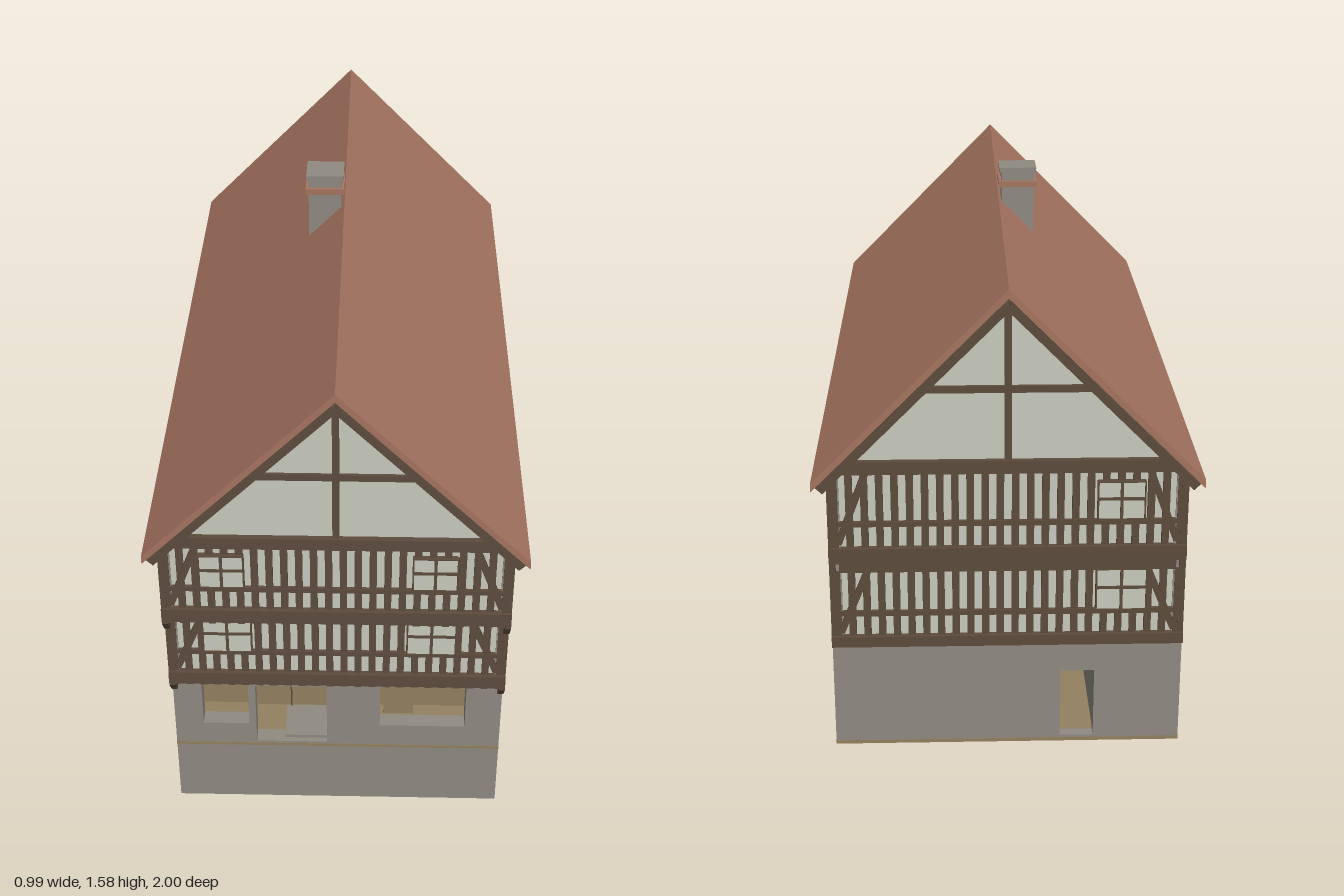
import * as THREE from 'three';

const mat = (name, color) => {
  const m = new THREE.MeshStandardMaterial({ color });
  m.name = name;
  return m;
};

export function createModel() {
  const stone = mat('grey stone', 0x8f8a82);
  const timber = mat('dark timber', 0x5d4c3d);
  const plaster = mat('pale plaster', 0xcacbbe);
  const tile = mat('clay tile', 0xa67460);
  const board = mat('tan boards', 0x93805f);

  const house = new THREE.Group();
  house.name = 'timberFramedHouse';

  const add = (parent, name, geo, material) => {
    const m = new THREE.Mesh(geo, material);
    m.name = name;
    parent.add(m);
    return m;
  };
  // Box given by its limits on each axis
  const box = (parent, name, material, x0, x1, y0, y1, z0, z1) => {
    const m = add(parent, name, new THREE.BoxGeometry(x1 - x0, y1 - y0, z1 - z0), material);
    m.position.set((x0 + x1) / 2, (y0 + y1) / 2, (z0 + z1) / 2);
    return m;
  };
  // Straight beam between two points of the facade plane
  const beam = (parent, name, x0, y0, x1, y1, width, z0, z1) => {
    const len = Math.hypot(x1 - x0, y1 - y0);
    const m = add(parent, name, new THREE.BoxGeometry(len, width, z1 - z0), timber);
    m.position.set((x0 + x1) / 2, (y0 + y1) / 2, (z0 + z1) / 2);
    m.rotation.z = Math.atan2(y1 - y0, x1 - x0);
    return m;
  };
  const shapeOf = (pts) => new THREE.Shape(pts.map(([x, y]) => new THREE.Vector2(x, y)));
  const rect = (x0, x1, y0, y1) => shapeOf([[x0, y0], [x1, y0], [x1, y1], [x0, y1]]);
  const extrude = (pts, holes, depth) => {
    const s = shapeOf(pts);
    s.holes = holes.map((h) => rect(...h));
    return new THREE.ExtrudeGeometry(s, { depth, bevelEnabled: false });
  };

  // Cellar and ground floor slab
  box(house, 'cellar', stone, -0.46, 0.46, 0, 0.205, 0.14, 0.885);
  box(house, 'floorSlab', board, -0.461, 0.461, 0.205, 0.215, -0.961, 0.886);

  // Side walls, stepping forward at each jetty, with window openings
  const sideProfile = [[-0.96, 0.215], [0.885, 0.215], [0.885, 0.5], [0.925, 0.5],
    [0.925, 0.745], [0.965, 0.745], [0.965, 1.0], [-0.96, 1.0]];
  const sideWindows = [[-0.135, 0.055, 0.85, 0.98], [-0.135, 0.055, 0.6, 0.735]];
  for (const side of [-1, 1]) {
    const wall = add(house, 'sideWall', extrude(sideProfile, sideWindows, 0.03), stone);
    wall.rotation.y = -Math.PI / 2;
    wall.position.x = side > 0 ? 0.46 : -0.43;
    for (const [z0, z1, y0, y1] of sideWindows) {
      const a = side * 0.43, b = side * 0.445;
      const bar = (u0, u1, v0, v1) =>
        box(house, 'sideWindowBar', timber, Math.min(a, b), Math.max(a, b), v0, v1, u0, u1);
      for (let i = 1; i < 4; i++) {
        const z = z0 + (z1 - z0) * i / 4;
        bar(z - 0.006, z + 0.006, y0, y1);
      }
      const ym = y0 + (y1 - y0) * 0.62;
      bar(z0, z1, ym - 0.005, ym + 0.005);
    }
  }

  // Ground floor front and back walls with openings
  const wallPts = [[-0.43, 0.215], [0.43, 0.215], [0.43, 0.5], [-0.43, 0.5]];
  add(house, 'frontWall', extrude(wallPts, [[-0.38, -0.25, 0.29, 0.475],
    [-0.23, -0.03, 0.222, 0.435], [0.12, 0.36, 0.29, 0.475]], 0.045), stone).position.z = 0.84;
  add(house, 'backWall', extrude(wallPts, [[-0.23, -0.14, 0.222, 0.42]], 0.03), stone).position.z = -0.96;

  // Boards behind the heads of the openings, and the rooms inside
  box(house, 'windowBoardLeft', board, -0.01, 0.43, 0.328, 0.5, 0.815, 0.84);
  box(house, 'windowBoardRight', board, -0.43, -0.24, 0.328, 0.5, 0.815, 0.84);
  box(house, 'doorBoard', board, -0.235, -0.01, 0.322, 0.5, 0.81, 0.84);
  box(house, 'doorBoardPost', timber, -0.133, -0.129, 0.322, 0.435, 0.84, 0.844);
  box(house, 'counter', board, 0.13, 0.215, 0.285, 0.322, 0.76, 0.83);
  box(house, 'doorStep', stone, -0.15, -0.03, 0.215, 0.232, 0.7, 0.87);
  box(house, 'innerWallLeft', stone, -0.137, 0.43, 0.215, 0.5, 0.57, 0.6);
  box(house, 'innerWallRight', stone, -0.43, -0.232, 0.215, 0.5, 0.57, 0.6);
  box(house, 'passageWallLeft', stone, -0.137, -0.12, 0.215, 0.5, -0.93, 0.57);
  box(house, 'passageWallRight', stone, -0.25, -0.232, 0.215, 0.5, -0.93, 0.57);

  // Plastered upper storeys and attic
  box(house, 'firstStorey', plaster, -0.43, 0.43, 0.5, 0.745, -0.955, 0.92);
  box(house, 'secondStorey', plaster, -0.43, 0.43, 0.745, 1.0, -0.955, 0.96);
  add(house, 'attic', extrude([[-0.43, 1.0], [0.43, 1.0], [0.43, 1.02], [0, 1.455], [-0.43, 1.02]], [], 1.915),
    plaster).position.z = -0.955;

  // One storey of framing on a wall plane at z
  const storey = (parent, z, y0, sill, rail, top, head, windows) => {
    box(parent, 'sillBeam', timber, -0.461, 0.461, y0, sill, z - 0.02, z + 0.018);
    box(parent, 'headBeam', timber, -0.435, 0.435, top, head, z - 0.02, z + 0.016);
    box(parent, 'midRail', timber, -0.45, 0.45, rail, rail + 0.014, z - 0.01, z + 0.01);
    for (let i = 0; i < 24; i++) {
      const x = -0.443 + i * 0.886 / 23;
      box(parent, 'stud', timber, x - 0.0095, x + 0.0095, sill, top, z - 0.01, z + 0.008);
    }
    for (const s of [-1, 1]) {
      const c = s * 0.4525;
      box(parent, 'cornerPost', timber, c - 0.0085, c + 0.0085, sill, Math.min(head, 0.998), z - 0.01, z + 0.01);
      beam(parent, 'brace', s * 0.435, sill + 0.01, s * 0.362, top, 0.018, z, z + 0.0105);
    }
    for (const [x0, x1, wy0, wy1] of windows) {
      const xm = (x0 + x1) / 2, ym = wy0 + (wy1 - wy0) * 0.55;
      box(parent, 'windowPane', plaster, x0, x1, wy0, wy1, z, z + 0.012);
      box(parent, 'windowMullion', timber, xm - 0.004, xm + 0.004, wy0, wy1, z, z + 0.015);
      box(parent, 'windowTransom', timber, x0, x1, ym - 0.004, ym + 0.004, z, z + 0.015);
      for (const x of [x0, x1]) box(parent, 'windowJamb', timber, x - 0.002, x + 0.002, wy0, wy1, z, z + 0.015);
      for (const y of [wy0, wy1]) box(parent, 'windowRail', timber, x0, x1, y - 0.002, y + 0.002, z, z + 0.015);
    }
  };
  // Gable post, collar and rafters
  const gable = (parent, z) => {
    box(parent, 'kingPost', timber, -0.009, 0.009, 1.02, 1.45, z - 0.01, z + 0.01);
    box(parent, 'collarBeam', timber, -0.235, 0.235, 1.21, 1.228, z - 0.01, z + 0.009);
    for (const s of [-1, 1]) beam(parent, 'rafter', s * 0.478, 0.965, s * 0.004, 1.446, 0.028, z, 0.997);
  };

  const front = new THREE.Group();
  front.name = 'frontFraming';
  storey(front, 0.92, 0.49, 0.53, 0.592, 0.722, 0.745, [[-0.36, -0.23, 0.605, 0.722], [0.19, 0.32, 0.605, 0.722]]);
  storey(front, 0.96, 0.748, 0.79, 0.848, 0.995, 1.03, [[-0.355, -0.24, 0.864, 0.968], [0.2, 0.315, 0.864, 0.968]]);
  gable(front, 0.96);
  // Joist ends and corner brackets under each jetty
  for (const [y, z] of [[0.49, 0.885], [0.748, 0.925]]) {
    for (let i = 0; i < 24; i++) {
      const x = -0.443 + i * 0.886 / 23;
      box(front, 'joistEnd', timber, x - 0.0095, x + 0.0095, y - 0.01, y, z - 0.01, z + 0.045);
    }
    for (const s of [-1, 1]) {
      const g = extrude([[0, y - 0.065], [0.012, y - 0.06], [0.045, y - 0.015], [0.045, y + 0.015], [0, y + 0.015]], [], 0.016);
      const bracket = add(front, 'cornerBracket', g, timber);
      bracket.rotation.y = -Math.PI / 2;
      bracket.position.set(s > 0 ? 0.462 : -0.446, 0, z);
    }
  }
  house.add(front);

  const back = new THREE.Group();
  back.name = 'backFraming';
  storey(back, 0.955, 0.505, 0.535, 0.592, 0.722, 0.748, [[0.23, 0.36, 0.605, 0.722]]);
  storey(back, 0.955, 0.748, 0.79, 0.848, 0.995, 1.03, [[0.23, 0.35, 0.864, 0.968]]);
  gable(back, 0.955);
  back.rotation.y = Math.PI;
  house.add(back);

  // Roof
  add(house, 'roof', extrude([[0, 1.488], [-0.497, 0.985], [-0.497, 0.962], [0, 1.465],
    [0.497, 0.962], [0.497, 0.985]], [], 2), tile).position.z = -1;

  // Chimney
  box(house, 'chimneyShaft', stone, -0.103, -0.008, 1.3, 1.57, -0.082, 0.002);
  box(house, 'chimneyBand', tile, -0.111, 0, 1.522, 1.539, -0.095, 0.014);
  box(house, 'chimneyCap', stone, -0.109, -0.002, 1.564, 1.578, -0.09, 0.01);
  return house;
}
